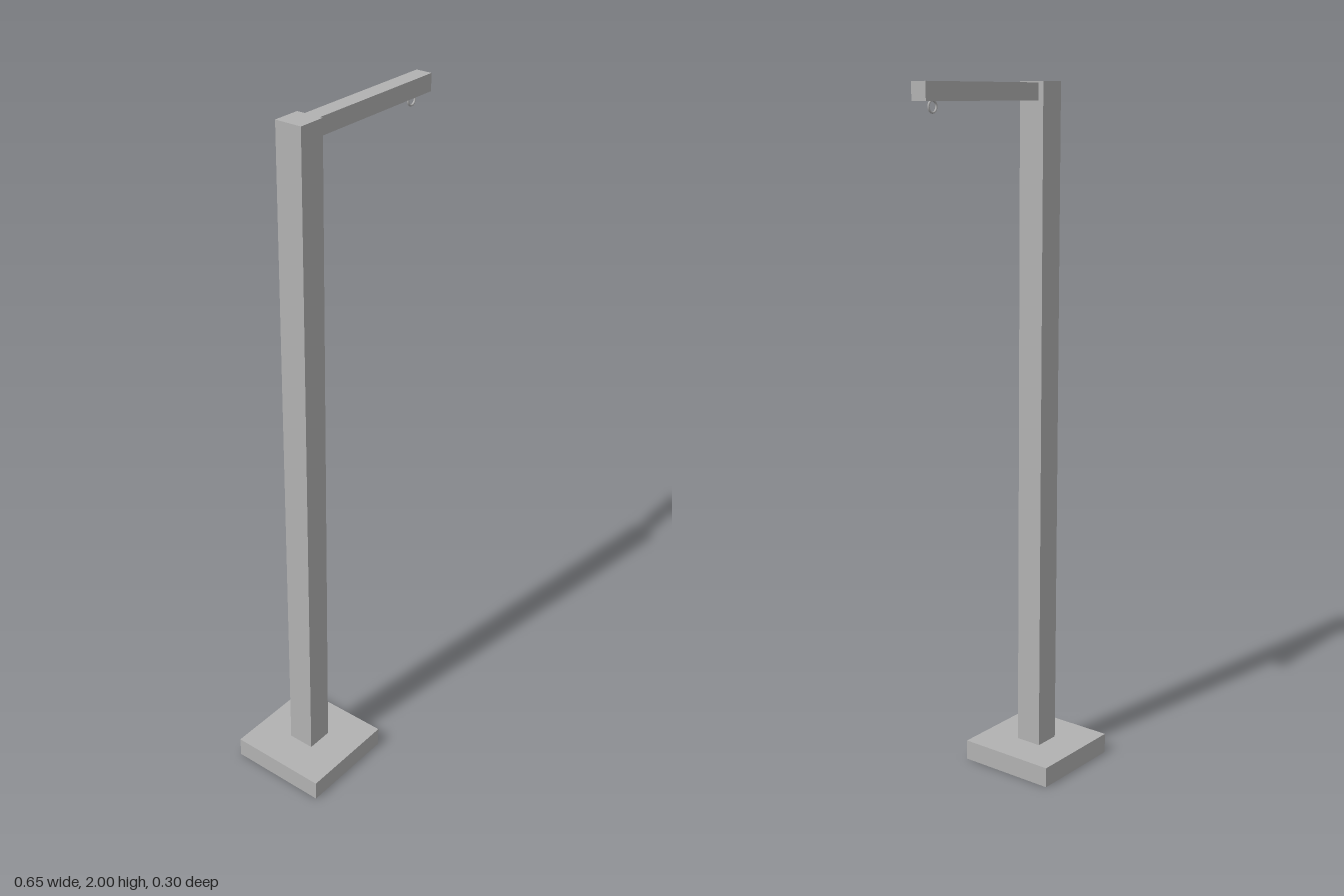
import * as THREE from 'three';

export function createModel() {
  const group = new THREE.Group();
  const grey = new THREE.MeshStandardMaterial({ color: 0xb2b2b2 });
  grey.name = 'grey';

  const add = (name, geometry, x, y, z = 0) => {
    const mesh = new THREE.Mesh(geometry, grey);
    mesh.name = name;
    mesh.position.set(x, y, z);
    group.add(mesh);
  };

  // Square foot and upright post
  add('base', new THREE.BoxGeometry(0.3, 0.06, 0.3), -0.175, 0.03);
  add('post', new THREE.BoxGeometry(0.08, 1.94, 0.08), -0.175, 1.03);

  // Arm reaching out to the left from just below the post top
  add('arm', new THREE.BoxGeometry(0.46, 0.048, 0.048), 0.095, 1.972);

  // Small hanging ring under the arm tip
  add('ring', new THREE.TorusGeometry(0.015, 0.003, 8, 24), 0.273, 1.934);

  return group;
}
